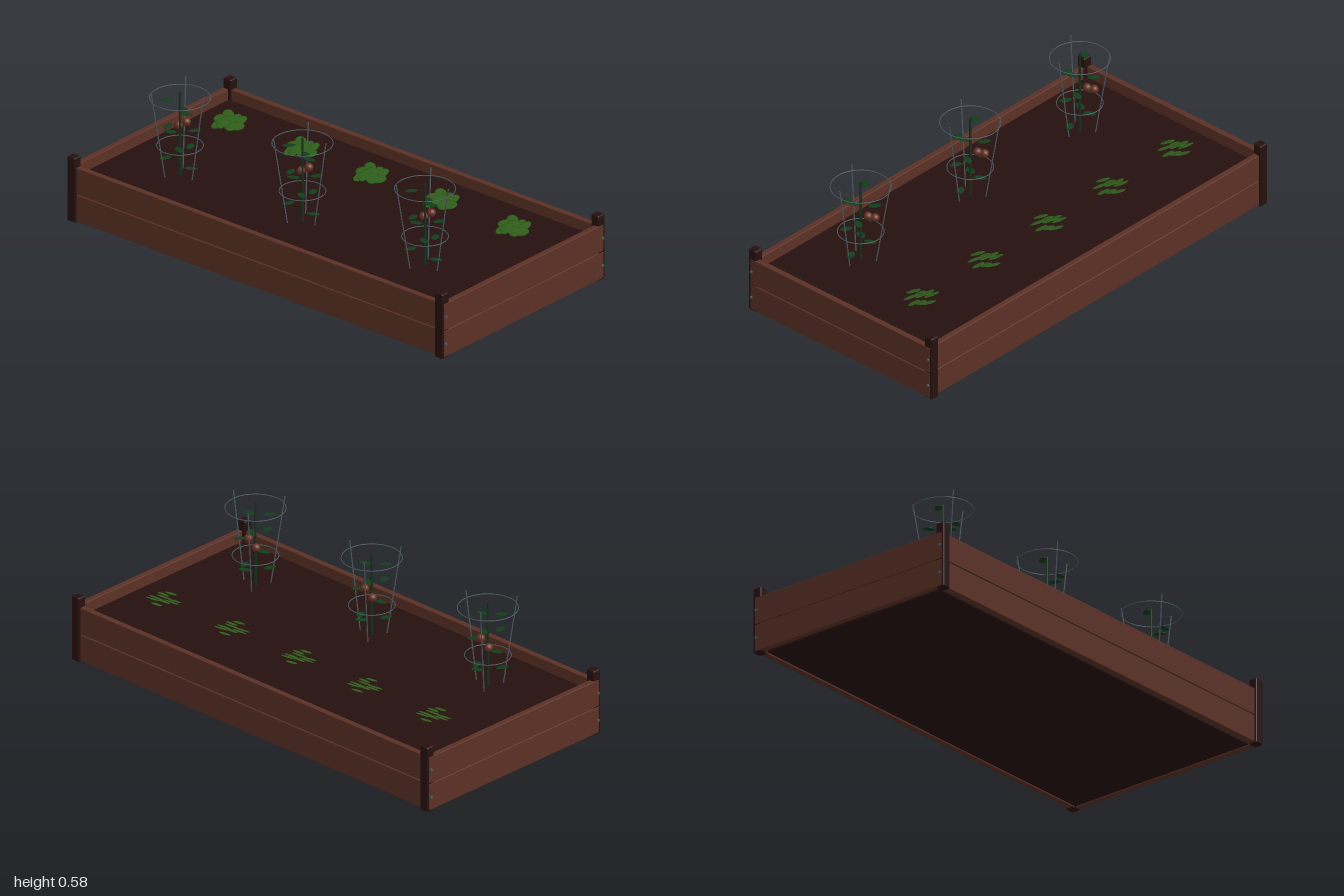
import * as THREE from 'three';
import { RoundedBoxGeometry } from 'three/addons/geometries/RoundedBoxGeometry.js';

const material = (name, color) => {
  const m = new THREE.MeshStandardMaterial({ color });
  m.name = name;
  return m;
};

export function createModel() {
  const wood = material('wood', 0x5a3025);
  const darkWood = material('darkWood', 0x26100f);
  const earth = material('earth', 0x261010);
  const metal = material('metal', 0x4a5a60);
  const stemGreen = material('stemGreen', 0x14301a);
  const leafGreen = material('leafGreen', 0x123c1a);
  const lettuceGreen = material('lettuceGreen', 0x2f5f1a);
  const fruitRed = material('fruitRed', 0x642f22);

  const model = new THREE.Group();
  model.name = 'raisedGardenBed';
  const add = (parent, name, geometry, mat, x = 0, y = 0, z = 0) => {
    const mesh = new THREE.Mesh(geometry, mat);
    mesh.name = name;
    mesh.position.set(x, y, z);
    parent.add(mesh);
    return mesh;
  };

  // Boards: two courses on each side
  const longBoard = new RoundedBoxGeometry(1.94, 0.117, 0.026, 2, 0.003);
  const shortBoard = new RoundedBoxGeometry(0.026, 0.117, 0.98, 2, 0.003);
  for (const y of [0.064, 0.184]) {
    for (const s of [-1, 1]) {
      add(model, 'longBoard', longBoard, wood, 0, y, s * 0.478);
      add(model, 'shortBoard', shortBoard, wood, s * 0.981, y, 0);
    }
  }

  // Corner posts with bolts through the end boards
  const post = new RoundedBoxGeometry(0.041, 0.287, 0.04, 2, 0.006);
  const bolt = new THREE.CylinderGeometry(0.006, 0.006, 0.012, 10).rotateZ(Math.PI / 2);
  for (const sx of [-1, 1]) {
    for (const sz of [-1, 1]) {
      add(model, 'cornerPost', post, darkWood, sx * 0.972, 0.1435, sz * 0.48);
      for (const y of [0.064, 0.186]) add(model, 'bolt', bolt, metal, sx * 0.994, y, sz * 0.482);
    }
  }

  // Soil fill, with a narrow gap to the boards
  add(model, 'soil', new THREE.BoxGeometry(1.914, 0.197, 0.91), earth, 0, 0.1035, 0);

  // Caged fruiting plants along the front
  const soilY = 0.2;
  const up = new THREE.Vector3(0, 1, 0);
  const stem = new THREE.CylinderGeometry(0.004, 0.006, 0.37, 8);
  const leaf = new THREE.SphereGeometry(1, 12, 6).scale(0.028, 0.0018, 0.016);
  const fruit = new THREE.SphereGeometry(0.018, 16, 12);
  const cageRings = [[0.094, 0.335], [0.123, 0.547]];
  for (const x of [-0.648, 0, 0.648]) {
    const plant = new THREE.Group();
    plant.name = 'cagedPlant';
    plant.position.set(x, 0, 0.206);
    model.add(plant);
    add(plant, 'stem', stem, stemGreen, 0, 0.385, 0);

    // Leaves spiral up the stem
    for (let i = 0; i < 10; i++) {
      const a = i * 2.4;
      const l = add(plant, 'leaf', leaf, leafGreen, Math.cos(a) * 0.058, 0.25 + i * 0.031, Math.sin(a) * 0.058);
      l.rotation.y = -a + 0.5;
    }
    add(plant, 'fruit', fruit, fruitRed, 0, 0.425, -0.04);
    add(plant, 'fruit', fruit, fruitRed, -0.042, 0.397, -0.04);

    // Wire cage: three splayed stakes and two hoops
    for (let i = 0; i < 3; i++) {
      const a = (i * Math.PI * 2) / 3;
      const from = new THREE.Vector3(Math.cos(a) * 0.064, soilY, Math.sin(a) * 0.064);
      const to = new THREE.Vector3(Math.cos(a) * 0.123, 0.582, Math.sin(a) * 0.123);
      const dir = to.clone().sub(from);
      const stake = add(plant, 'cageStake', new THREE.CylinderGeometry(0.0027, 0.0027, dir.length(), 6), metal);
      stake.position.copy(from).add(to).multiplyScalar(0.5);
      stake.quaternion.setFromUnitVectors(up, dir.normalize());
    }
    for (const [r, y] of cageRings) {
      add(plant, 'cageHoop', new THREE.TorusGeometry(r, 0.002, 6, 40).rotateX(Math.PI / 2), metal, 0, y, 0);
    }
  }

  // Low leafy heads along the back, all leaves tipped toward the front
  const headLeaf = new THREE.SphereGeometry(1, 12, 6).scale(0.034, 0.002, 0.024);
  for (const x of [-0.753, -0.37, -0.003, 0.37, 0.75]) {
    const head = new THREE.Group();
    head.name = 'leafyHead';
    head.position.set(x, 0.25, -0.218);
    model.add(head);
    for (let i = 0; i < 9; i++) {
      const a = (i * Math.PI * 2) / 8;
      const r = i === 8 ? 0 : 0.042;
      const l = add(head, 'headLeaf', headLeaf, lettuceGreen, Math.cos(a) * r, (i % 3) * 0.009 - 0.004, Math.sin(a) * r);
      l.rotation.set(0.45, -a + 0.3, 0);
    }
  }
  return model;
}
